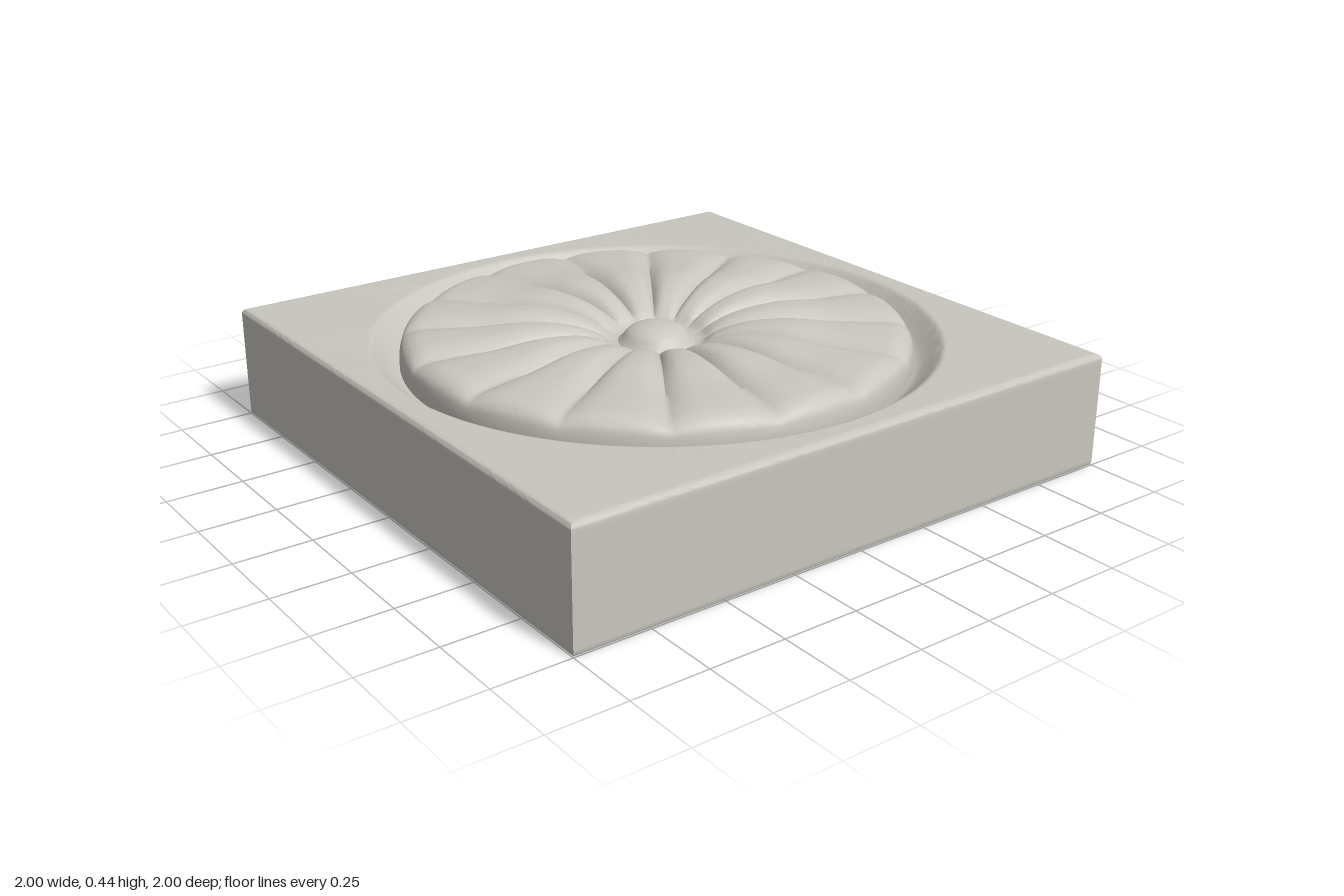
import * as THREE from 'three';
import { toCreasedNormals } from 'three/addons/utils/BufferGeometryUtils.js';

const SEGMENTS = 384; // divisible by 16 petals and by 8 for the square corners
const PETALS = 16;

// Skin a surface over closed loops; pointAt(loop, angle) gives [x, y, z].
function loopSurface(loops, pointAt, crease = 0.8) {
  const positions = [], index = [];
  for (let i = 0; i < loops; i++) {
    for (let j = 0; j < SEGMENTS; j++) {
      positions.push(...pointAt(i, (j / SEGMENTS) * Math.PI * 2));
    }
  }
  for (let i = 0; i < loops - 1; i++) {
    for (let j = 0; j < SEGMENTS; j++) {
      const k = (j + 1) % SEGMENTS;
      const a = i * SEGMENTS + j, b = i * SEGMENTS + k;
      const c = a + SEGMENTS, d = b + SEGMENTS;
      index.push(a, b, c, b, d, c);
    }
  }
  const geometry = new THREE.BufferGeometry();
  geometry.setAttribute('position', new THREE.Float32BufferAttribute(positions, 3));
  geometry.setIndex(index);
  return toCreasedNormals(geometry, crease);
}

const polar = (r, y, t) => [r * Math.cos(t), y, r * Math.sin(t)];
const squareRadius = (t) => 1 / Math.max(Math.abs(Math.cos(t)), Math.abs(Math.sin(t)));

export function createModel() {
  const group = new THREE.Group();
  const stone = new THREE.MeshStandardMaterial({ color: 0xc8c6be });
  stone.name = 'pale stone';

  const add = (name, geometry) => {
    const mesh = new THREE.Mesh(geometry, stone);
    mesh.name = name;
    group.add(mesh);
  };

  // Square block: round sloped recess, flat top, eased edges, walls and underside.
  // Each entry is [size, height, is square].
  const outline = [
    [0.81, 0.305, 0], [0.835, 0.308, 0], [0.86, 0.325, 0], [0.885, 0.348, 0],
    [0.91, 0.372, 0], [0.918, 0.379, 0], [0.928, 0.382, 0], [0.935, 0.382, 0],
    [0.975, 0.382, 1],
  ];
  const ease = 0.018;
  for (let i = 0; i <= 4; i++) {
    const a = (i / 4) * Math.PI / 2;
    outline.push([1 - ease + ease * Math.sin(a), 0.382 - ease + ease * Math.cos(a), 1]);
  }
  outline.push([1, 0.35, 1], [1, 0.02, 1], [1, 0.008, 1], [0.997, 0.002, 1], [0.99, 0, 1], [0.97, 0, 1], [0, 0, 1]);
  add('block', loopSurface(outline.length, (i, t) => {
    const [size, y, square] = outline[i];
    return polar(square ? size * squareRadius(t) : size, y, t);
  }));

  // Rosette petals: [radius, crest height, groove depth].
  const crest = new THREE.CatmullRomCurve3([
    [0.11, 0.348, 0], [0.15, 0.353, 0.002], [0.19, 0.384, 0.014], [0.28, 0.42, 0.03],
    [0.42, 0.437, 0.034], [0.58, 0.427, 0.03], [0.72, 0.421, 0.024], [0.785, 0.412, 0.02],
    [0.818, 0.388, 0.01], [0.829, 0.35, 0], [0.831, 0.3, 0],
  ].map((p) => new THREE.Vector3(...p)));
  const rings = crest.getSpacedPoints(70);
  add('petals', loopSurface(rings.length, (i, t) => {
    const { x: r, y: h, z: depth } = rings[i];
    const turn = (t * PETALS) / (Math.PI * 2);
    const u = Math.abs(turn - Math.round(turn)) * 2; // 0 on the crest, 1 in the groove
    return polar(r, h - depth * u ** 3, t);
  }, 1.2));

  // Centre boss: a low dome in the ring-shaped hollow.
  const dome = new THREE.SplineCurve([
    [0.135, 0.34], [0.115, 0.36], [0.09, 0.388], [0.05, 0.405], [0, 0.41],
  ].map((p) => new THREE.Vector2(...p))).getPoints(20);
  add('centreBoss', new THREE.LatheGeometry(dome, 64));

  return group;
}
